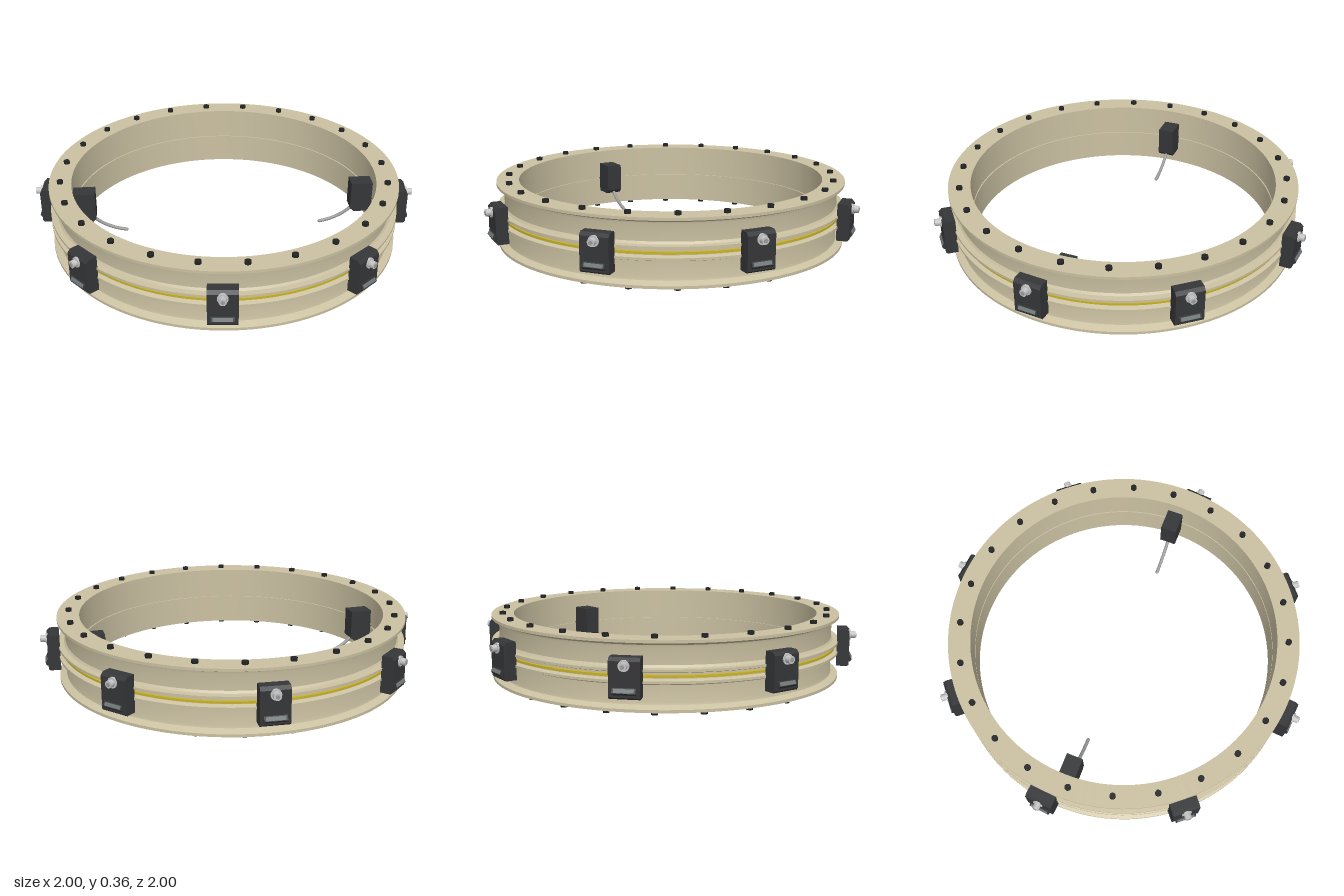
import * as THREE from 'three';
import { toCreasedNormals } from 'three/addons/utils/BufferGeometryUtils.js';

const mat = (name, color) => {
  const m = new THREE.MeshStandardMaterial({ color });
  m.name = name;
  return m;
};

export function createModel() {
  const tan = mat('tan metal', 0xcbc1a2);
  const yellow = mat('yellow band', 0xc9b32a);
  const black = mat('black housing', 0x353638);
  const dark = mat('dark bolt', 0x222325);
  const steel = mat('bright steel', 0xc4c4c4);
  const grey = mat('grey label', 0x70787a);
  const cableGrey = mat('cable grey', 0x9a9a98);

  const root = new THREE.Group();
  const MID = 0.185;
  const add = (parent, name, geometry, material, x = 0, y = 0, z = 0) => {
    const mesh = new THREE.Mesh(geometry, material);
    mesh.name = name;
    mesh.position.set(x, y, z);
    parent.add(mesh);
    return mesh;
  };
  const lathe = (pts) => toCreasedNormals(
    new THREE.LatheGeometry(pts.map(([r, y]) => new THREE.Vector2(r, y)), 128), 0.4);

  // Two mirrored rings: bolt flange, wall and clamping lip
  const lower = [
    [0.795, 0.022], [0.91, 0.022], [0.91, 0.036], [0.875, 0.05], [0.872, 0.062],
    [0.872, 0.14], [0.88, 0.151], [0.91, 0.153], [0.91, 0.165], [0.887, 0.172],
    [0.887, 0.18], [0.795, 0.18], [0.795, 0.022],
  ];
  const upper = lower.map(([r, y]) => [r, 2 * MID - y]).reverse();
  add(root, 'lowerRing', lathe(lower), tan);
  add(root, 'upperRing', lathe(upper), tan);

  // Yellow seal outside the joint, recessed spacer inside it
  add(root, 'sealBand', lathe([
    [0.87, 0.176], [0.892, 0.176], [0.892, 0.187], [0.87, 0.187], [0.87, 0.176],
  ]), yellow);
  add(root, 'jointSpacer', lathe([
    [0.802, 0.178], [0.86, 0.178], [0.86, 0.192], [0.802, 0.192], [0.802, 0.178],
  ]), tan);

  // Flange bolts, top and bottom
  const boltGeo = new THREE.CylinderGeometry(0.016, 0.016, 0.026, 12);
  for (let i = 0; i < 24; i++) {
    const a = THREE.MathUtils.degToRad(7.5 + 15 * i);
    const x = 0.852 * Math.sin(a), z = 0.852 * Math.cos(a);
    add(root, 'topBolt', boltGeo, dark, x, 0.351, z);
    add(root, 'bottomBolt', boltGeo, dark, x, 0.013, z);
  }

  // Prism across the width from a side profile of [radius, height]
  const prism = (profile, width) => {
    const shape = new THREE.Shape(profile.map(([r, y]) => new THREE.Vector2(r, y)));
    const g = new THREE.ExtrudeGeometry(shape, { depth: width, bevelEnabled: false });
    g.translate(0, 0, -width / 2);
    g.rotateY(-Math.PI / 2);
    return g;
  };

  // Eight release units around the outside
  const housingGeo = prism([
    [0.902, 0.092], [0.957, 0.092], [0.965, 0.1], [0.965, 0.262], [0.95, 0.278], [0.902, 0.278],
  ], 0.142);
  const footGeo = prism([[0.96, 0.113], [0.972, 0.113], [0.979, 0.122], [0.968, 0.145], [0.96, 0.145]], 0.108);
  const collarGeo = new THREE.CylinderGeometry(0.026, 0.026, 0.012, 20).rotateX(Math.PI / 2);
  const plugGeo = new THREE.CylinderGeometry(0.018, 0.018, 0.04, 20).rotateX(Math.PI / 2);
  const pinGeo = new THREE.CylinderGeometry(0.01, 0.01, 0.006, 12).rotateX(Math.PI / 2);
  for (let i = 0; i < 8; i++) {
    const unit = new THREE.Group();
    unit.name = 'releaseUnit';
    unit.rotation.y = i * Math.PI / 4;
    add(unit, 'housing', housingGeo, black);
    add(unit, 'lowerLatch', footGeo, black);
    const label = add(unit, 'latchLabel', new THREE.BoxGeometry(0.092, 0.018, 0.004), grey, 0, 0.133, 0.9742);
    label.rotation.x = -0.446;
    add(unit, 'connectorCollar', collarGeo, steel, 0, 0.243, 0.966);
    add(unit, 'connectorPlug', plugGeo, steel, 0, 0.243, 0.977);
    add(unit, 'connectorPin', pinGeo, cableGrey, 0, 0.243, 0.997);
    root.add(unit);
  }

  // Two sensors with drooping cables on the inner wall
  const sensorGeo = prism([
    [0.68, 0.128], [0.7, 0.108], [0.8, 0.108], [0.8, 0.275], [0.68, 0.275],
  ], 0.085);
  const cablePath = new THREE.QuadraticBezierCurve3(
    new THREE.Vector3(0, 0.125, 0.705),
    new THREE.Vector3(0, 0.05, 0.64),
    new THREE.Vector3(0, 0.03, 0.525));
  const cableGeo = new THREE.TubeGeometry(cablePath, 20, 0.009, 10);
  const capGeo = new THREE.SphereGeometry(0.009, 10, 8);
  for (let i = 0; i < 2; i++) {
    const sensor = new THREE.Group();
    sensor.name = 'innerSensor';
    sensor.rotation.y = THREE.MathUtils.degToRad(50) + i * Math.PI;
    add(sensor, 'sensorHousing', sensorGeo, black);
    add(sensor, 'sensorCable', cableGeo, cableGrey);
    add(sensor, 'cableEnd', capGeo, cableGrey, 0, 0.03, 0.525);
    root.add(sensor);
  }
  return root;
}
